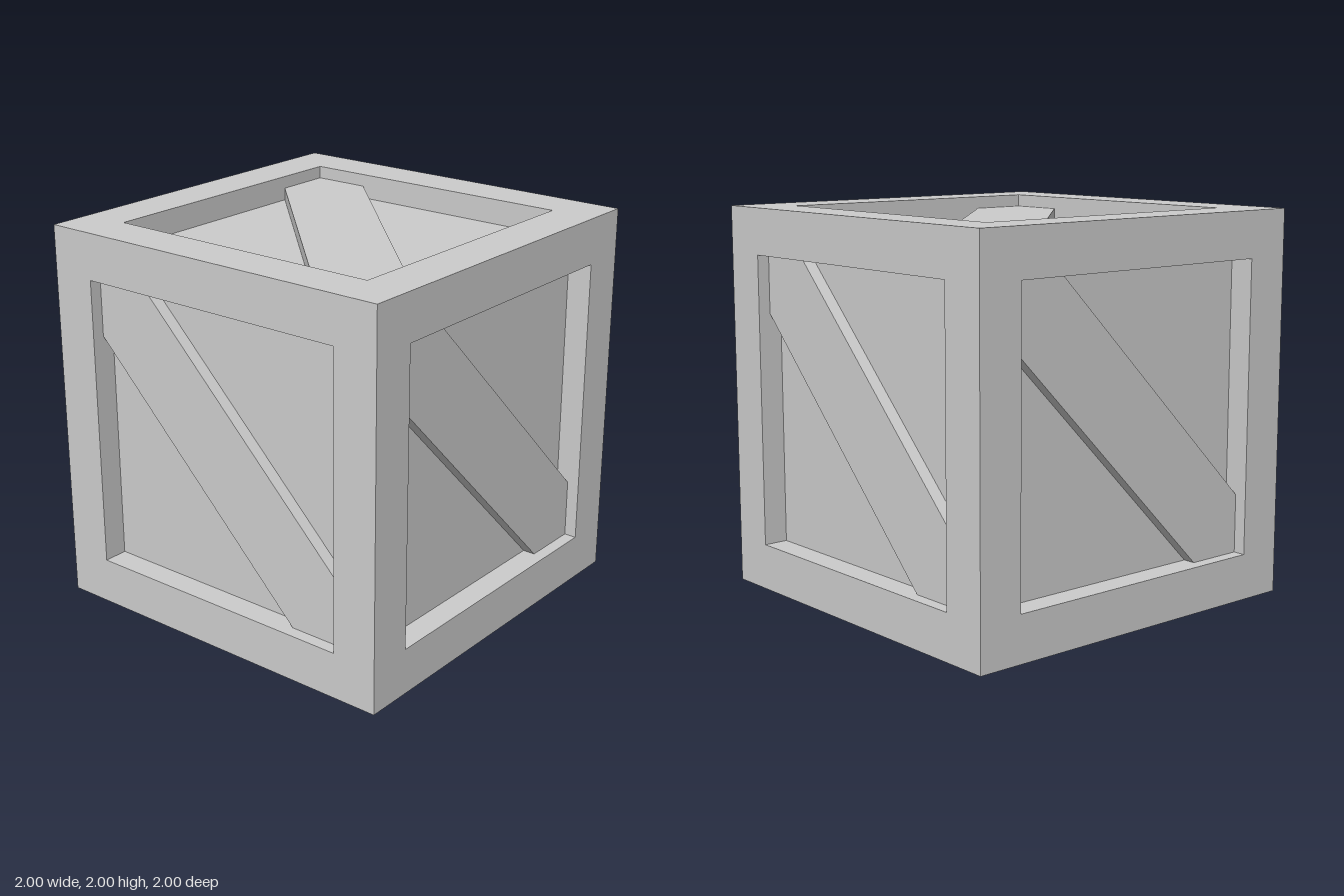
import * as THREE from 'three';

const HALF = 1;          // half the crate's side
const BEAM = 0.24;       // thickness of the frame beams
const OPEN = HALF - BEAM; // half the opening in each side
const RECESS = 0.13;     // depth of the panels behind the frame
const BRACE_TOP = 0.065; // depth of the brace faces behind the frame
const BRACE = 0.305;     // offset of the brace edges from the diagonal, along an axis

export function createModel() {
  const crate = new THREE.Group();
  crate.name = 'crate';
  const material = new THREE.MeshStandardMaterial({ color: 0xcccccc, flatShading: true });

  const add = (name, geometry, parent) => {
    const mesh = new THREE.Mesh(geometry, material);
    mesh.name = name;
    parent.add(mesh);
    return mesh;
  };

  // Inner box whose sides show as the recessed panels
  const inner = 2 * (HALF - RECESS);
  add('panels', new THREE.BoxGeometry(inner, inner, inner), crate).position.y = HALF;

  // Frame: four upright posts and four rails in each horizontal direction
  const frame = new THREE.Group();
  frame.name = 'frame';
  frame.position.y = HALF;
  crate.add(frame);
  const c = HALF - BEAM / 2;
  const post = new THREE.BoxGeometry(BEAM, 2 * HALF, BEAM);
  const railX = new THREE.BoxGeometry(2 * OPEN, BEAM, BEAM);
  const railZ = new THREE.BoxGeometry(BEAM, BEAM, 2 * OPEN);
  for (const a of [-c, c]) {
    for (const b of [-c, c]) {
      add('cornerPost', post, frame).position.set(a, 0, b);
      add('crossRail', railX, frame).position.set(0, a, b);
      add('sideRail', railZ, frame).position.set(a, b, 0);
    }
  }

  // Diagonal brace, cut to fit the corners of the opening
  const e = OPEN - BRACE;
  const outline = new THREE.Shape([
    [-OPEN, OPEN], [-OPEN, e], [-e, -OPEN].map((v, i) => (i ? v : e)),
    [OPEN, -OPEN], [OPEN, -e], [-e, OPEN],
  ].map(([x, y]) => new THREE.Vector2(x, y)));
  const brace = new THREE.ExtrudeGeometry(outline, { depth: RECESS - BRACE_TOP, bevelEnabled: false });
  brace.translate(0, 0, HALF - RECESS);

  // One brace on each of the six sides
  const q = Math.PI / 2;
  const sides = {
    frontBrace: [0, 0, 0],
    rightBrace: [0, q, 0],
    backBrace: [0, 2 * q, 0],
    leftBrace: [0, -q, 0],
    topBrace: [-q, 0, q],
    bottomBrace: [q, 0, q],
  };
  for (const [name, turn] of Object.entries(sides)) {
    const mesh = add(name, brace, crate);
    mesh.position.y = HALF;
    mesh.rotation.set(...turn);
  }
  return crate;
}
